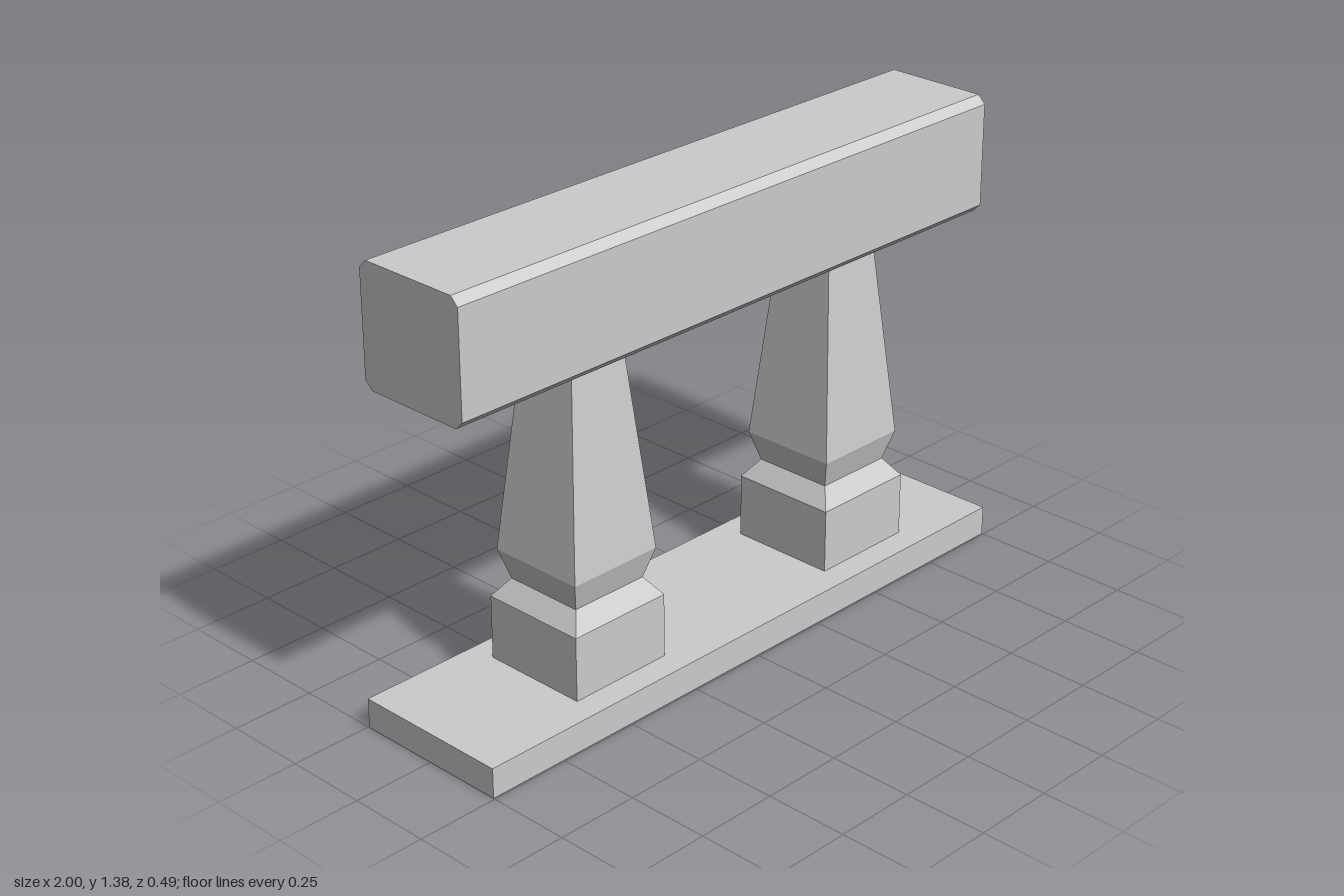
import * as THREE from 'three';

const material = new THREE.MeshStandardMaterial({ color: 0xcccccc, flatShading: true });

function addMesh(group, name, geometry, x, y, z) {
  const mesh = new THREE.Mesh(geometry, material);
  mesh.name = name;
  mesh.position.set(x, y, z);
  group.add(mesh);
}

// Square baluster: [half width, height] profile turned in four flat sides
function balusterGeometry() {
  const profile = [
    [0.166, 0.09], [0.166, 0.282], [0.125, 0.337], [0.151, 0.426], [0.093, 1.026],
  ].map(([half, y]) => new THREE.Vector2(half * Math.SQRT2, y));
  return new THREE.LatheGeometry(profile, 4, Math.PI / 4);
}

// Rail: box section with chamfered long edges, extruded along x
function railGeometry(length, halfDepth, height, chamfer) {
  const h = halfDepth, c = chamfer;
  const section = new THREE.Shape([
    [-h + c, 0], [h - c, 0], [h, c], [h, height - c],
    [h - c, height], [-h + c, height], [-h, height - c], [-h, c],
  ].map(([x, y]) => new THREE.Vector2(x, y)));
  return new THREE.ExtrudeGeometry(section, { depth: length, bevelEnabled: false })
    .translate(0, 0, -length / 2)
    .rotateY(Math.PI / 2);
}

export function createModel() {
  const model = new THREE.Group();
  model.name = 'balustrade';

  addMesh(model, 'basePlinth', new THREE.BoxGeometry(2, 0.09, 0.492), 0, 0.045, 0);

  // The two balusters sit slightly off the middle, so sections repeat evenly
  const baluster = balusterGeometry();
  addMesh(model, 'rightBaluster', baluster, -0.457, 0, 0);
  addMesh(model, 'leftBaluster', baluster, 0.535, 0, 0);

  addMesh(model, 'topRail', railGeometry(2, 0.181, 0.354, 0.024), 0, 1.026, 0);
  return model;
}
